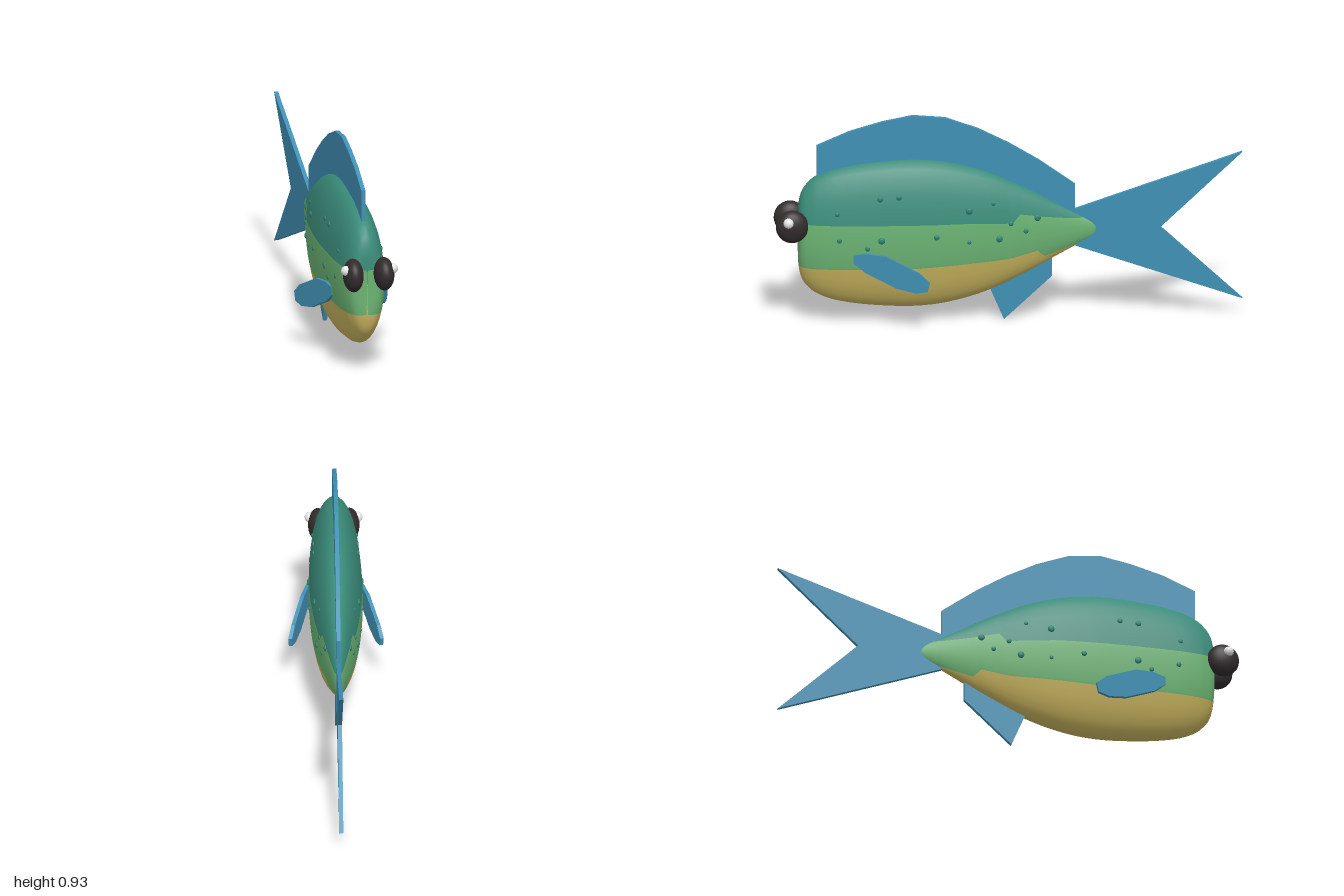
import * as THREE from 'three';

const mat = (name, color) => {
  const m = new THREE.MeshStandardMaterial({ color });
  m.name = name;
  return m;
};

// piecewise linear lookup in [z, value] pairs, z falling
function lookup(table, z) {
  if (z >= table[0][0]) return table[0][1];
  for (let i = 1; i < table.length; i++) {
    const [z0, v0] = table[i - 1], [z1, v1] = table[i];
    if (z >= z1) return v0 + (v1 - v0) * (z0 - z) / (z0 - z1);
  }
  return table[table.length - 1][1];
}

const MID = 0.4, NARROW = 0.348;

// half height of the body along z, nose to tail
const profile = new THREE.SplineCurve([
  [0.9, 0.002], [0.9, 0.07], [0.898, 0.14], [0.885, 0.195], [0.86, 0.232], [0.82, 0.265], [0.74, 0.297],
  [0.6, 0.321], [0.41, 0.332], [0.25, 0.315], [0.08, 0.265], [-0.1, 0.178],
  [-0.2, 0.122], [-0.3, 0.068], [-0.35, 0.042], [-0.375, 0.024], [-0.385, 0.002],
].map(p => new THREE.Vector2(...p))).getPoints(96);
const radii = profile.map(p => [p.x, p.y]);

// heights where the colour bands meet, with a step near the tail
const upperEdge = [[0.9, 0.468], [0.2, 0.465], [-0.03, 0.452], [-0.045, 0.49], [-0.15, 0.47], [-0.28, 0.452], [-0.385, 0.45]];
const lowerEdge = [[0.9, 0.268], [0.4, 0.268], [0, 0.292], [-0.13, 0.322], [-0.145, 0.287], [-0.3, 0.338], [-0.385, 0.34]];

// elliptical cross-sections whose points follow the band edges
function bodyGeometry() {
  const SEG = 12, N = SEG * 4, pos = [], index = [];
  const geo = new THREE.BufferGeometry();
  for (const { x: z, y: r } of profile) {
    const angle = table => Math.asin(THREE.MathUtils.clamp((lookup(table, z) - MID) / r, -0.998, 0.998));
    const t = angle(upperEdge), b = angle(lowerEdge);
    const stops = [b, t, Math.PI - t, Math.PI - b, Math.PI * 2 + b];
    for (let j = 0; j < N; j++) {
      const k = Math.floor(j / SEG);
      const a = THREE.MathUtils.lerp(stops[k], stops[k + 1], (j % SEG) / SEG);
      pos.push(Math.cos(a) * r * NARROW, MID + Math.sin(a) * r, z);
    }
  }
  // bands: flank, back, flank, belly
  [1, 0, 1, 2].forEach((material, band) => {
    const start = index.length;
    for (let i = 0; i < profile.length - 1; i++) {
      for (let j = band * SEG; j < (band + 1) * SEG; j++) {
        const a = i * N + j, b = i * N + (j + 1) % N;
        index.push(a, a + N, b, b, a + N, b + N);
      }
    }
    geo.addGroup(start, index.length - start, material);
  });
  geo.setAttribute('position', new THREE.Float32BufferAttribute(pos, 3));
  geo.setIndex(index);
  geo.computeVertexNormals();
  return geo;
}

// flat fin from a [z, y] outline, centred on x = 0
function finGeometry(outline, depth = 0.018) {
  const shape = new THREE.Shape(outline.map(p => new THREE.Vector2(...p)));
  return new THREE.ExtrudeGeometry(shape, { depth, bevelEnabled: false })
    .translate(0, 0, -depth / 2).rotateY(-Math.PI / 2);
}

export function createModel() {
  const group = new THREE.Group();
  group.name = 'fish';
  const backGreen = mat('backGreen', 0x3a8c7a);
  const flankGreen = mat('flankGreen', 0x6ab272);
  const bellyYellow = mat('bellyYellow', 0xc8b45e);
  const finBlue = mat('finBlue', 0x4090b4);
  const eyeBlack = mat('eyeBlack', 0x322b2c);
  const glintWhite = mat('glintWhite', 0xe6e6e6);
  const spotGreen = mat('spotGreen', 0x2f8073);

  const add = (name, geometry, material) => {
    const mesh = new THREE.Mesh(geometry, material);
    mesh.name = name;
    group.add(mesh);
    return mesh;
  };

  add('body', bodyGeometry(), [backGreen, flankGreen, bellyYellow]);

  // fins on the centre line
  add('dorsalFin', finGeometry([
    [0.82, 0.6], [0.82, 0.8], [0.68, 0.86], [0.54, 0.9], [0.41, 0.925], [0.27, 0.912],
    [0.13, 0.86], [0, 0.793], [-0.13, 0.713], [-0.285, 0.6], [-0.285, 0.44], [0, 0.55],
  ]), finBlue);
  add('tailFin', finGeometry([
    [-0.27, 0.484], [-1, 0.73], [-0.65, 0.4], [-1, 0.07], [-0.27, 0.33],
  ]), finBlue);
  add('analFin', finGeometry([
    [0.1, 0.19], [0.02, 0], [-0.185, 0.19], [-0.185, 0.3], [0.05, 0.3],
  ]), finBlue);

  const spots = [
    [0.74, 0.517, 0.01], [0.555, 0.582, 0.013], [0.475, 0.587, 0.012], [0.73, 0.402, 0.011],
    [0.55, 0.4, 0.015], [0.61, 0.365, 0.011], [0.315, 0.41, 0.012], [0.175, 0.52, 0.015],
    [0.07, 0.544, 0.009], [0.175, 0.382, 0.009], [0.045, 0.389, 0.015], [-0.005, 0.453, 0.011],
    [-0.07, 0.415, 0.011], [-0.12, 0.469, 0.015],
  ];

  for (const side of [1, -1]) {
    const label = side > 0 ? 'left' : 'right';

    // side fin, slanting outwards towards the back
    const slant = new THREE.Matrix4().set(
      1, 0, -0.3 * side, 0.301 * side,
      0, 1, 0, 0,
      0, 0, 1, 0,
      0, 0, 0, 1);
    add(label + 'PectoralFin', finGeometry([
      [0.67, 0.335], [0.62, 0.346], [0.535, 0.34], [0.395, 0.275], [0.35, 0.235],
      [0.36, 0.195], [0.41, 0.185], [0.49, 0.2], [0.62, 0.26], [0.67, 0.3],
    ], 0.016).applyMatrix4(slant), finBlue);

    // eye and its glint
    const eye = add(label + 'Eye', new THREE.SphereGeometry(1, 28, 20), eyeBlack);
    eye.scale.set(0.043, 0.072, 0.07);
    eye.position.set(0.067 * side, 0.458, 0.93);
    const glint = add(label + 'EyeGlint', new THREE.SphereGeometry(0.022, 16, 12), glintWhite);
    glint.position.set(0.102 * side, 0.485, 0.948);

    // raised spots on the flank
    for (const [z, y, r] of spots) {
      const h = lookup(radii, z);
      const x = NARROW * Math.sqrt(h * h - (y - MID) ** 2);
      const spot = add(label + 'Spot', new THREE.SphereGeometry(r, 12, 8), spotGreen);
      spot.scale.x = 0.5;
      spot.position.set(x * side, y, z);
    }
  }
  return group;
}
